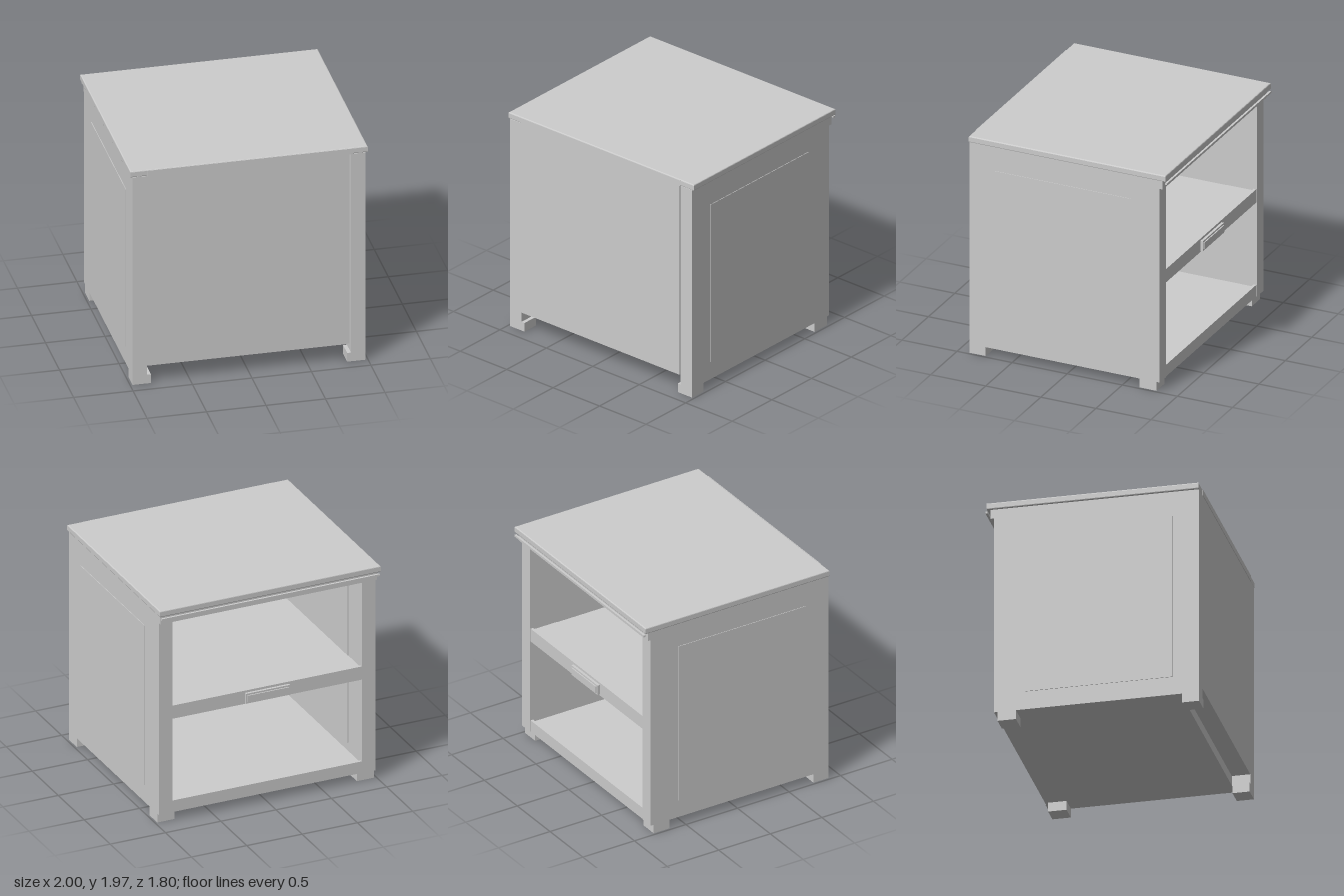
import * as THREE from 'three';

export function createModel() {
  const group = new THREE.Group();
  const grey = new THREE.MeshStandardMaterial({ color: 0xcccccc });
  grey.name = 'plain grey';

  // Box given by its extents on each axis
  function box(name, [x0, x1], [y0, y1], [z0, z1]) {
    const mesh = new THREE.Mesh(new THREE.BoxGeometry(x1 - x0, y1 - y0, z1 - z0), grey);
    mesh.position.set((x0 + x1) / 2, (y0 + y1) / 2, (z0 + z1) / 2);
    mesh.name = name;
    group.add(mesh);
    return mesh;
  }

  // Same box mirrored to both sides
  function pair(name, [x0, x1], y, z) {
    box(name + 'Left', [x0, x1], y, z);
    box(name + 'Right', [-x1, -x0], y, z);
  }

  // Side walls with a slightly raised panel inside and out
  pair('sideWall', [0.857, 0.98], [0.08, 1.91], [-0.83, 0.895]);
  pair('sidePanel', [0.852, 0.985], [0.24, 1.69], [-0.565, 0.67]);

  // Feet
  pair('frontFoot', [0.825, 0.98], [0, 0.08], [0.75, 0.895]);
  pair('backFoot', [0.825, 0.98], [0, 0.08], [-0.8, -0.645]);

  // Closed front panel, leaving a narrow slot on one side
  box('frontPanel', [-0.857, 0.845], [0.165, 1.91], [0.74, 0.895]);

  // Top board with bevelled edges
  const bevel = 0.008;
  const outline = new THREE.Shape();
  const w = 0.998 - bevel, z0 = -0.89 + bevel, z1 = 0.895 - bevel;
  outline.moveTo(-w, -z1);
  outline.lineTo(w, -z1);
  outline.lineTo(w, -z0);
  outline.lineTo(-w, -z0);
  outline.closePath();
  const topGeometry = new THREE.ExtrudeGeometry(outline, {
    depth: 0.055 - 2 * bevel, bevelSize: bevel, bevelThickness: bevel, bevelSegments: 2,
  });
  topGeometry.rotateX(-Math.PI / 2);
  const top = new THREE.Mesh(topGeometry, grey);
  top.position.y = 1.91 + bevel;
  top.name = 'topBoard';
  group.add(top);
  box('topFrontStrip', [-0.857, 0.857], [1.91, 1.96], [0.88, 0.9]);

  // Floor and shelf, each with a raised rail on the open back
  box('floor', [-0.857, 0.857], [0.08, 0.165], [-0.8, 0.74]);
  box('floorRail', [-0.857, 0.857], [0.08, 0.185], [-0.825, -0.8]);
  box('shelf', [-0.857, 0.857], [0.94, 1.035], [-0.8, 0.74]);
  box('shelfRail', [-0.857, 0.857], [0.93, 1.05], [-0.825, -0.8]);

  // Rail and slim strip under the top at the back
  box('topRail', [-0.98, 0.98], [1.83, 1.91], [-0.857, -0.825]);
  box('topRailStrip', [-0.985, 0.985], [1.88, 1.897], [-0.9, -0.882]);

  // Stepped handle at the middle of the shelf rail
  box('handleBase', [-0.2, 0.2], [0.94, 1.03], [-0.847, -0.825]);
  box('handleFace', [-0.185, 0.185], [0.955, 1.015], [-0.857, -0.847]);

  return group;
}
